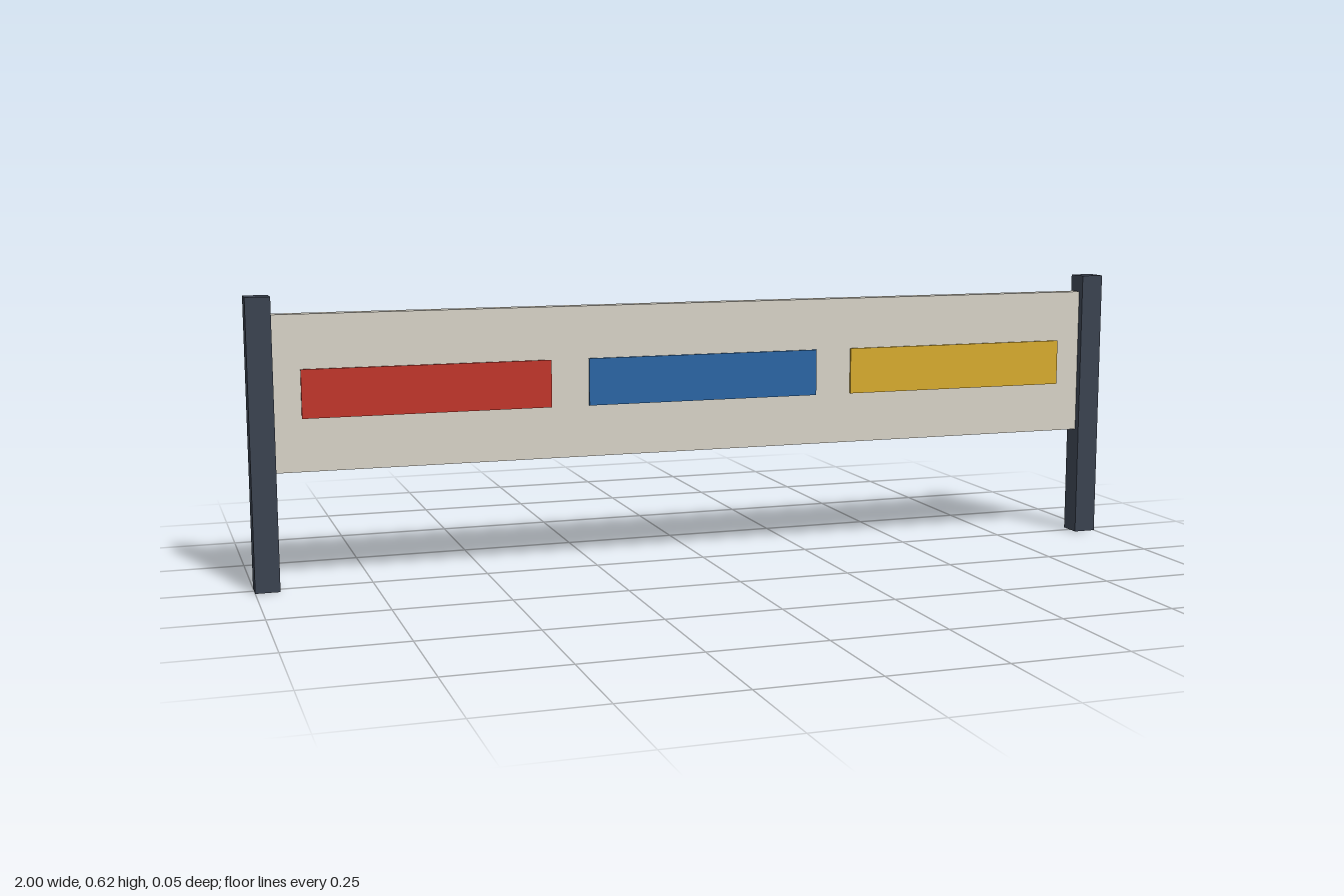
import * as THREE from 'three';

const POST = { width: 0.052, height: 0.622 };

function box(name, size, position, color) {
  const mesh = new THREE.Mesh(
    new THREE.BoxGeometry(...size),
    new THREE.MeshStandardMaterial({ color })
  );
  mesh.name = name;
  mesh.position.set(...position);
  return mesh;
}

export function createModel() {
  const group = new THREE.Group();
  group.name = 'signBoard';

  // Two square posts at the ends
  for (const [name, side] of [['leftPost', 1], ['rightPost', -1]]) {
    group.add(box(name, [POST.width, POST.height, POST.width],
      [side * (1 - POST.width / 2), POST.height / 2, 0], 0x3a424f));
  }

  // Board spanning between the posts, set slightly toward the back
  group.add(box('board', [1.9, 0.333, 0.029], [0, 0.417, -0.0035], 0xd6d2c6));

  // Three coloured panels raised on the front of the board
  const panels = [['redPanel', 0xc0352b], ['bluePanel', 0x2b65a3], ['yellowPanel', 0xd6aa2e]];
  panels.forEach(([name, color], i) => {
    group.add(box(name, [0.537, 0.104, 0.008], [(i - 1) * 0.622, 0.416, 0.012], color));
  });

  return group;
}
